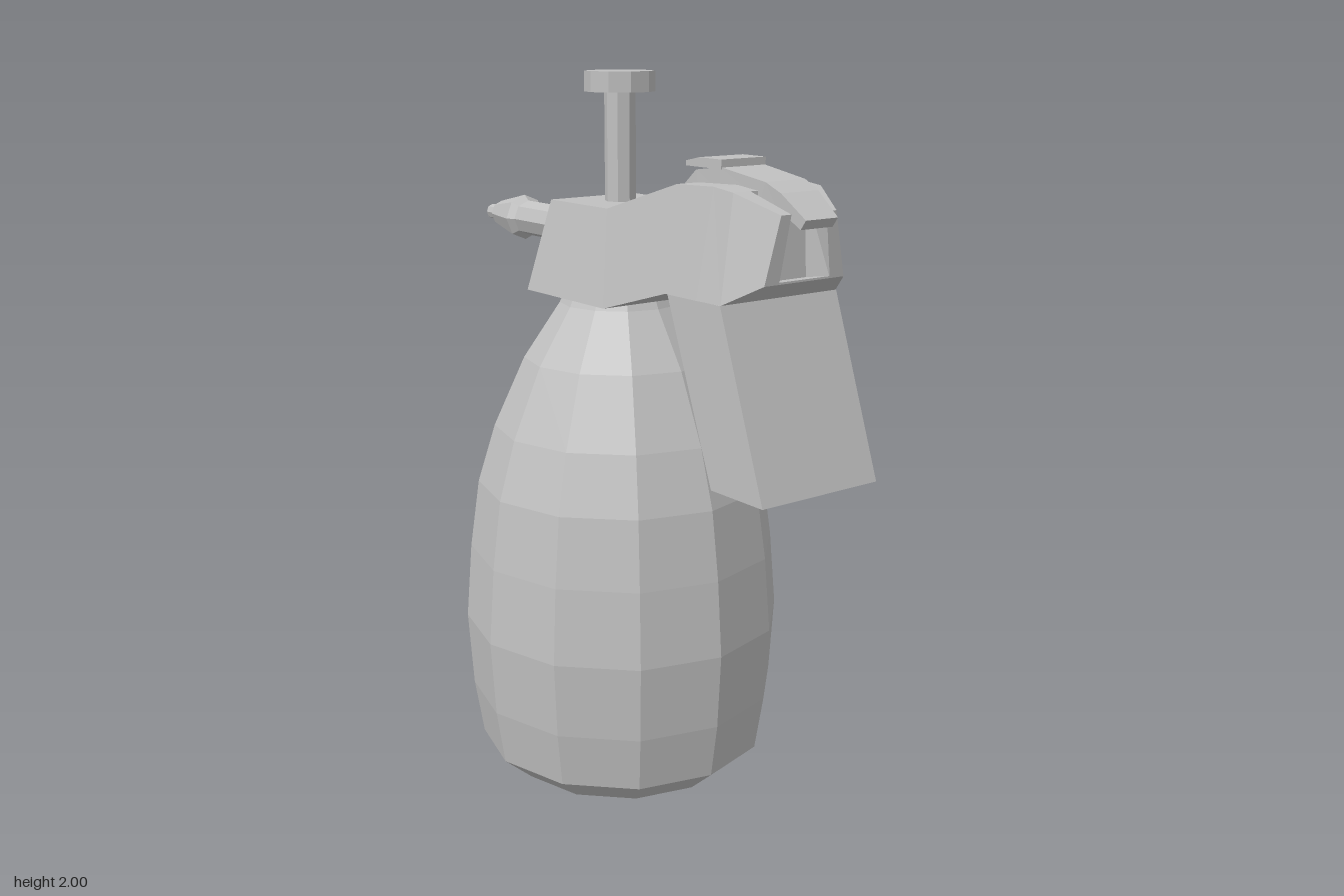
import * as THREE from 'three';

const grey = new THREE.MeshStandardMaterial({ color: 0xc0c0c0, flatShading: true });
grey.name = 'grey plastic';

function part(name, geometry, parent) {
  const mesh = new THREE.Mesh(geometry, grey);
  mesh.name = name;
  parent.add(mesh);
  return mesh;
}

// Faceted solid of revolution from [radius, height] pairs
function turned(profile, sides) {
  return new THREE.LatheGeometry(profile.map(([r, y]) => new THREE.Vector2(r, y)), sides);
}

// Solid through four-cornered cross-sections, with flat end caps
function loft(sections) {
  const pos = [];
  const quad = (a, b, c, d) => pos.push(...a, ...b, ...c, ...a, ...c, ...d);
  for (let s = 0; s < sections.length - 1; s++) {
    const A = sections[s], B = sections[s + 1];
    for (let i = 0; i < 4; i++) {
      const j = (i + 1) % 4;
      quad(A[i], A[j], B[j], B[i]);
    }
  }
  const [a, b, c, d] = sections[0];
  quad(d, c, b, a);
  quad(...sections[sections.length - 1]);
  const g = new THREE.BufferGeometry();
  g.setAttribute('position', new THREE.Float32BufferAttribute(pos, 3));
  g.computeVertexNormals();
  return g;
}

// Symmetric section: bottom edge and top edge, each [x, y, halfWidth]
const section = ([xb, yb, wb], [xt, yt, wt]) =>
  [[xb, yb, wb], [xb, yb, -wb], [xt, yt, -wt], [xt, yt, wt]];

export function createModel() {
  const root = new THREE.Group();
  root.name = 'pumpSprayer';

  // The sprayer points along its local x axis, turned to the diagonal
  const sprayer = new THREE.Group();
  sprayer.name = 'sprayer';
  sprayer.position.set(-0.11, 0, -0.11);
  sprayer.rotation.y = -0.726;
  root.add(sprayer);

  // Bottle
  part('bottle', turned([
    [0, 0.005], [0.18, 0.005], [0.325, 0.05], [0.41, 0.125], [0.434, 0.28], [0.447, 0.49],
    [0.43, 0.7], [0.403, 0.89], [0.354, 1.05], [0.268, 1.24], [0.168, 1.39], [0.15, 1.43],
  ], 12), sprayer);

  // Pump plunger
  part('pumpRod', turned([[0.042, 1.6], [0.042, 1.96]], 8), sprayer);
  part('pumpKnob', turned([[0, 1.947], [0.094, 1.947], [0.094, 2], [0, 2]], 10), sprayer);

  // Head
  part('head', loft([
    section([-0.18, 1.415, 0.187], [-0.13, 1.662, 0.137]),
    section([0.18, 1.415, 0.187], [0.13, 1.662, 0.137]),
    section([0.44, 1.49, 0.187], [0.42, 1.748, 0.137]),
    section([0.56, 1.49, 0.187], [0.56, 1.753, 0.137]),
    section([0.645, 1.49, 0.183], [0.63, 1.745, 0.137]),
  ]), sprayer);

  // Cheeks on both sides of the front recess
  for (const side of [1, -1]) {
    const rear = [[0.645, 1.49, 0.183], [0.645, 1.49, 0.085], [0.63, 1.745, 0.085], [0.63, 1.745, 0.137]];
    const front = [[0.73, 1.54, 0.125], [0.73, 1.54, 0.08], [0.739, 1.7, 0.055], [0.739, 1.7, 0.086]];
    const fit = (loop) => {
      const pts = loop.map(([x, y, w]) => [x, y, w * side]);
      return side > 0 ? pts : pts.reverse();
    };
    part(side > 0 ? 'leftCheek' : 'rightCheek', loft([fit(rear), fit(front)]), sprayer);
  }
  part('recessFloor', loft([
    section([0.645, 1.49, 0.085], [0.64, 1.53, 0.085]),
    section([0.73, 1.54, 0.08], [0.73, 1.545, 0.08]),
  ]), sprayer);

  // Thumb lever curving over the top, with its raised plate
  part('lever', loft([
    section([0.36, 1.7, 0.07], [0.35, 1.728, 0.07]),
    section([0.42, 1.72, 0.07], [0.41, 1.778, 0.07]),
    section([0.5, 1.73, 0.068], [0.5, 1.79, 0.068]),
    section([0.64, 1.725, 0.062], [0.655, 1.767, 0.062]),
    section([0.685, 1.715, 0.058], [0.705, 1.745, 0.058]),
    section([0.765, 1.667, 0.05], [0.782, 1.69, 0.05]),
  ]), sprayer);
  part('leverPlate', loft([
    section([0.37, 1.785, 0.07], [0.37, 1.797, 0.07]),
    section([0.42, 1.785, 0.07], [0.42, 1.808, 0.07]),
    section([0.505, 1.785, 0.07], [0.505, 1.808, 0.07]),
  ]), sprayer);

  // Slanted grip
  part('handle', loft([
    section([0.62, 1.037, 0.185], [0.446, 1.49, 0.185]),
    section([0.808, 1.037, 0.185], [0.645, 1.49, 0.185]),
  ]), sprayer);

  // Spray tube with conical nozzle
  const nozzle = part('nozzle', turned([
    [0.05, 0.1], [0.05, 0.46], [0.065, 0.48], [0.036, 0.61], [0.022, 0.61], [0.022, 0.662], [0, 0.662],
  ], 8), sprayer);
  nozzle.rotation.z = Math.PI / 2;
  nozzle.position.y = 1.57;

  return root;
}
